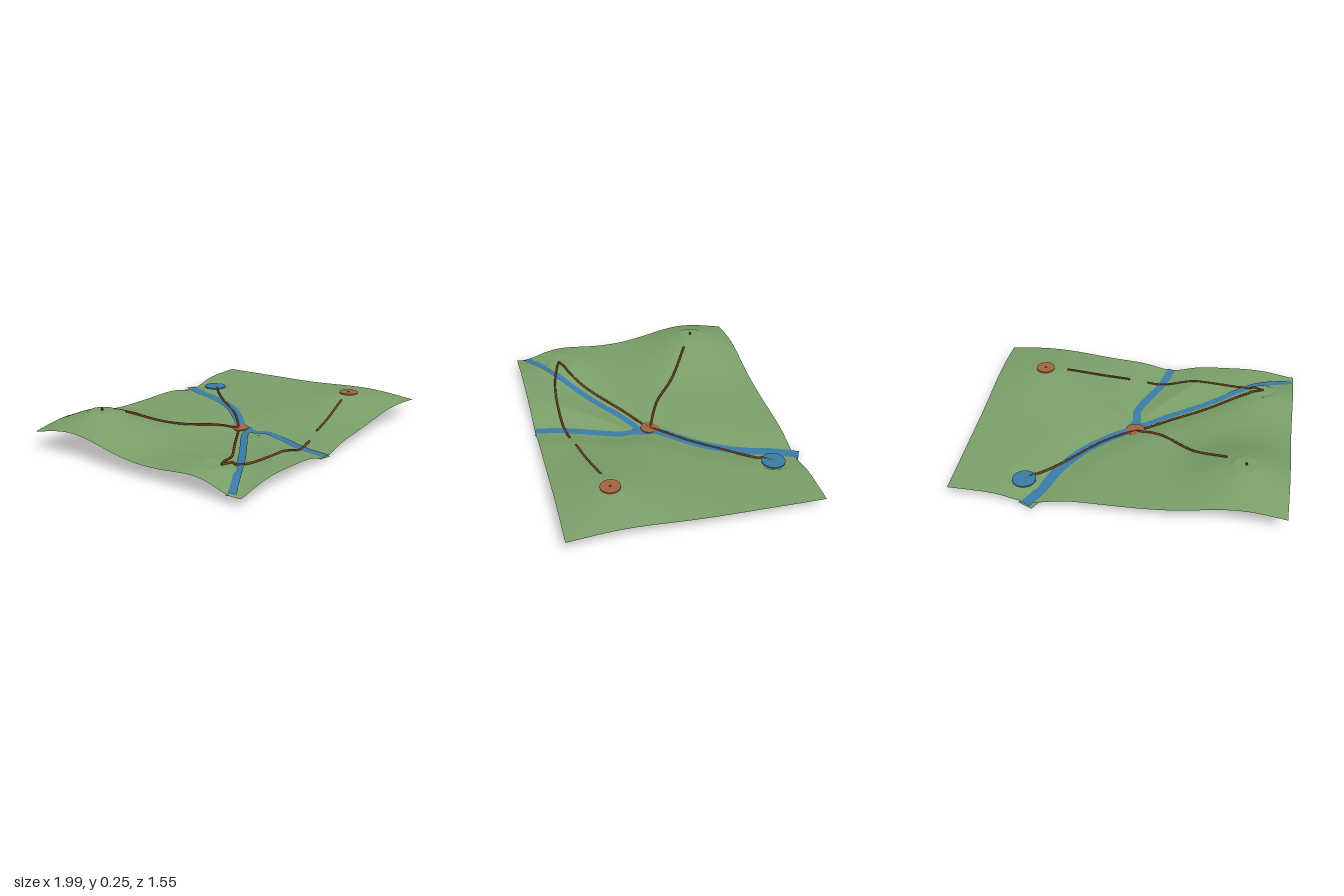
import * as THREE from 'three';

const mat = (name, color) => Object.assign(
  new THREE.MeshStandardMaterial({ color, side: THREE.DoubleSide }), { name });

const curve = (pts) => new THREE.CatmullRomCurve3(pts.map(([x, z]) => new THREE.Vector3(x, 0, z)));

// River courses, seen from above as [x, z]
const rivers = {
  mainRiver: { half: 0.034, bank: 0.05, path: curve([[0.03, 0.09], [0.04, 0.04], [0.16, -0.08], [0.29, -0.23], [0.4, -0.43], [0.46, -0.62], [0.525, -0.755]]) },
  westRiver: { half: 0.022, bank: 0.035, path: curve([[0.05, 0.09], [-0.06, 0.14], [-0.35, 0.33], [-0.7, 0.555], [-0.975, 0.705]]) },
  southRiver: { half: 0.027, bank: 0.04, path: curve([[0.03, 0.09], [0.01, 0.16], [0.02, 0.25], [-0.03, 0.4], [-0.1, 0.58], [-0.14, 0.767]]) },
};
const riverPoints = Object.values(rivers).flatMap((r) => r.path.getSpacedPoints(40));

// Broad hills and hollows: [x, z, height, spread]
const bumps = [
  [-0.73, -0.43, 0.16, 0.235],
  [0.68, 0.45, 0.085, 0.27],
  [-0.78, 0.5, 0.065, 0.19],
  [0.1, 0.5, -0.015, 0.28],
  [-0.03, 0.13, -0.02, 0.09],
  [1, -0.2, 0.01, 0.3],
];

// Level sites: [x, z, flat radius]
const sites = [[-0.73, -0.43, 0.07], [0.68, 0.45, 0.07], [-0.79, 0.5, 0.06], [0.575, -0.57, 0.07]];

function rawHeight(x, z) {
  let y = 0.08;
  for (const [bx, bz, h, s] of bumps) y += h * Math.exp(-((x - bx) ** 2 + (z - bz) ** 2) / (2 * s * s));
  let d2 = Infinity;
  for (const p of riverPoints) d2 = Math.min(d2, (x - p.x) ** 2 + (z - p.z) ** 2);
  return y - 0.045 * Math.exp(-d2 / 0.02);
}

function ground(x, z) {
  let y = rawHeight(x, z);
  for (const [sx, sz, r] of sites) {
    const d = Math.hypot(x - sx, z - sz);
    if (d < r + 0.035) {
      const t = THREE.MathUtils.smoothstep(d, r, r + 0.035);
      y = THREE.MathUtils.lerp(rawHeight(sx, sz), y, t);
    }
  }
  return y;
}

// Flat strip that follows a course over the ground
function ribbon(path, half, lift, n = 60) {
  const pos = [], index = [];
  for (let i = 0; i <= n; i++) {
    const p = path.getPointAt(i / n), t = path.getTangentAt(i / n);
    const y = ground(p.x, p.z) + lift;
    pos.push(p.x - t.z * half, y, p.z + t.x * half, p.x + t.z * half, y, p.z - t.x * half);
    if (i < n) {
      const a = i * 2;
      index.push(a, a + 2, a + 1, a + 1, a + 2, a + 3);
    }
  }
  // wind the faces so that they look upwards
  for (let i = 0; i < index.length; i += 3) [index[i + 1], index[i + 2]] = [index[i + 2], index[i + 1]];
  const g = new THREE.BufferGeometry();
  g.setAttribute('position', new THREE.Float32BufferAttribute(pos, 3));
  g.setIndex(index);
  g.computeVertexNormals();
  if (g.attributes.normal.getY(0) < 0) {
    g.setIndex(index.slice().reverse());
    g.computeVertexNormals();
  }
  return g;
}

export function createModel() {
  const group = new THREE.Group();
  const grass = mat('grass green', 0x7a9e68);
  const water = mat('water blue', 0x3a7ba6);
  const clay = mat('clay orange', 0xa0633c);
  const trail = mat('trail brown', 0x74401f);
  const add = (name, geometry, material) => {
    const m = new THREE.Mesh(geometry, material);
    m.name = name;
    group.add(m);
    return m;
  };

  // Rolling land sheet
  const land = new THREE.PlaneGeometry(1.99, 1.5, 130, 100);
  land.rotateX(-Math.PI / 2).translate(0.005, 0, 0.02);
  const p = land.attributes.position;
  for (let i = 0; i < p.count; i++) p.setY(i, ground(p.getX(i), p.getZ(i)));
  land.computeVertexNormals();
  add('land', land, grass);

  // Rivers with their beds underneath
  for (const [name, { half, bank, path }] of Object.entries(rivers)) {
    add(name, ribbon(path, half, 0.006), water);
    add(name + 'Bed', ribbon(path, bank, -0.006), grass);
  }

  // Trails laid on the ground
  const trails = {
    northWestTrail: [[-0.61, -0.35], [-0.4, -0.21], [-0.2, -0.05], [0, 0.05]],
    northEastTrail: [[0, 0.05], [0.2, -0.13], [0.38, -0.35], [0.575, -0.57]],
    westTrail: [[0, 0.05], [-0.3, 0.235], [-0.6, 0.42], [-0.79, 0.5]],
    southTrail: [[-0.79, 0.5], [-0.65, 0.55], [-0.4, 0.585], [-0.2, 0.59], [0, 0.57]],
    southEastTrail: [[0.12, 0.55], [0.32, 0.52], [0.54, 0.48]],
  };
  for (const [name, pts] of Object.entries(trails)) {
    const laid = curve(pts).getSpacedPoints(24).map((q) => q.setY(ground(q.x, q.z) + 0.006));
    add(name, new THREE.TubeGeometry(new THREE.CatmullRomCurve3(laid), 60, 0.007, 6), trail);
  }

  // Round markers: [name, x, z, radius, material]
  const discs = [
    ['centreDisc', 0, 0.05, 0.06, clay],
    ['southEastDisc', 0.685, 0.455, 0.06, clay],
    ['pond', 0.575, -0.57, 0.072, water],
  ];
  for (const [name, x, z, r, m] of discs) {
    add(name, new THREE.CylinderGeometry(r, r, 0.008, 32), m).position.set(x, ground(x, z) + 0.007, z);
  }

  // Small posts on the hilltops
  for (const [name, x, z] of [['northWestPost', -0.73, -0.43], ['southEastPost', 0.685, 0.455]]) {
    add(name, new THREE.CylinderGeometry(0.007, 0.007, 0.014, 8), trail).position.set(x, ground(x, z) + 0.008, z);
  }
  return group;
}
